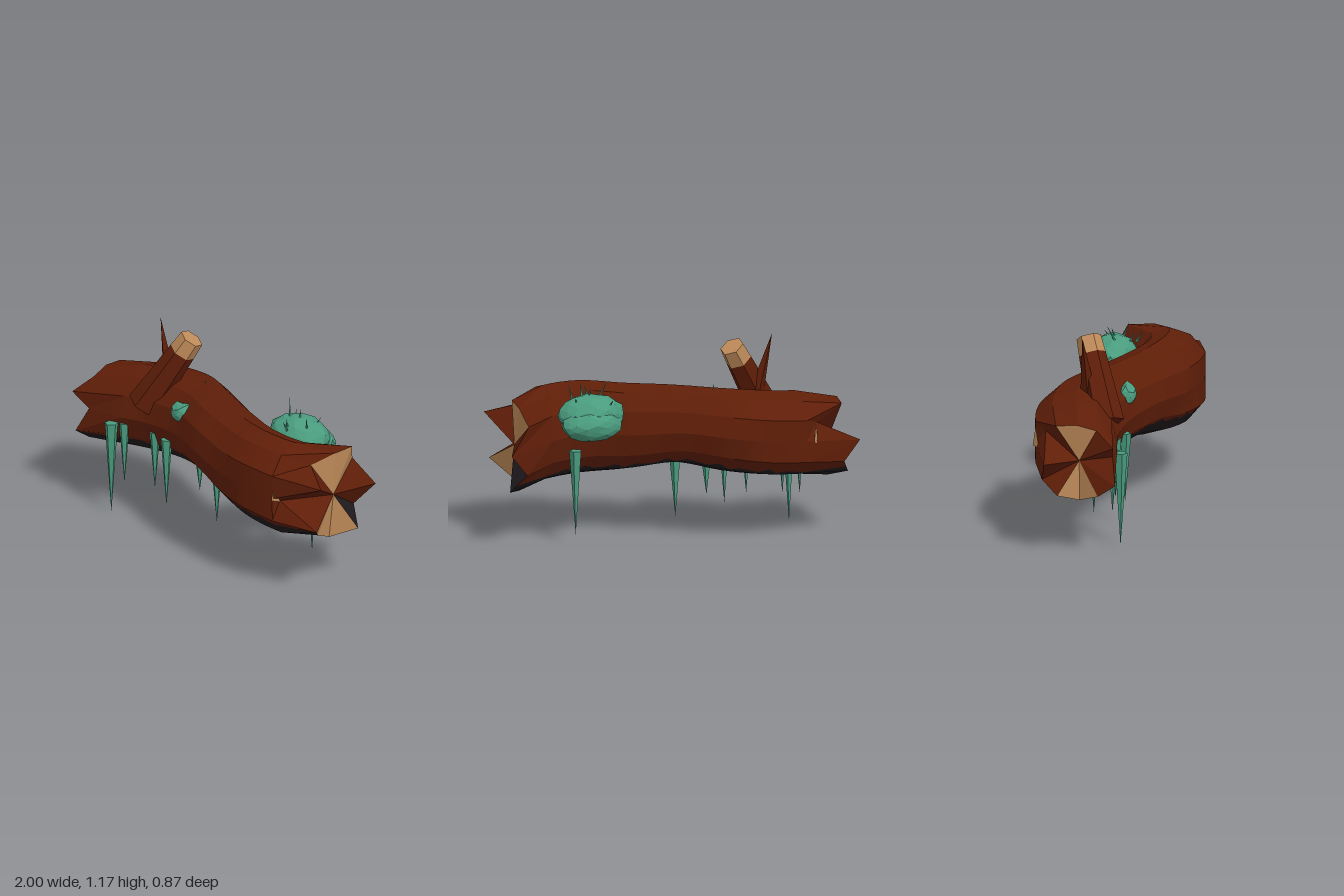
import * as THREE from 'three';

const mat = (name, color) => {
  const m = new THREE.MeshStandardMaterial({ color, flatShading: true });
  m.name = name;
  return m;
};
const V = (x, y, z) => new THREE.Vector3(x, y, z);

export function createModel() {
  const root = new THREE.Group();
  const bark = mat('bark', 0x5f1e08);
  const under = mat('dampUnderside', 0x201a1d);
  const wood = mat('cutWood', 0xc08c5a);
  const moss = mat('moss', 0x4a9c7f);

  const add = (name, geo, material, parent = root) => {
    const m = new THREE.Mesh(geo, material);
    m.name = name;
    parent.add(m);
    return m;
  };

  // Log axis and radii, sampled evenly from x = -1 to 1
  const axis = new THREE.CatmullRomCurve3([
    [0.545, -0.15], [0.58, -0.185], [0.60, -0.20], [0.625, -0.15], [0.645, -0.005],
    [0.62, 0.12], [0.61, 0.22], [0.585, 0.215], [0.555, 0.11],
  ].map(([y, z], i) => V(-1 + i * 0.25, y, z)), false, 'catmullrom', 0.5);
  const radii = new THREE.CatmullRomCurve3([
    [0.225, 0.21], [0.24, 0.23], [0.245, 0.235], [0.24, 0.25], [0.225, 0.25],
    [0.25, 0.235], [0.27, 0.20], [0.275, 0.21], [0.265, 0.255],
  ].map(([y, z], i) => V(-1 + i * 0.25, y, z)), false, 'catmullrom', 0.5);

  // Cross-section, squared off on the outer side of each bend
  const SIDES = 12;
  const ringAt = (x) => Array.from({ length: SIDES }, (_, k) => {
    const t = (x + 1) / 2, a = (k / SIDES) * Math.PI * 2;
    const c = axis.getPoint(t), r = radii.getPoint(t);
    let across = Math.cos(a);
    if (across * x > 0) across *= 1 + 0.15 * THREE.MathUtils.smoothstep(Math.abs(x), 0.1, 0.5);
    return V(x, c.y + r.y * Math.sin(a), c.z + r.z * THREE.MathUtils.clamp(across, -1, 1));
  });

  // Splintered rims, corners running from the front over the top to the back
  const leftRim = [
    [-0.89, 0.58, 0.03], [-1, 0.66, 0.04], [-0.92, 0.74, -0.06], [-0.92, 0.77, -0.17],
    [-0.91, 0.76, -0.29], [-0.74, 0.68, -0.36], [-1, 0.555, -0.35], [-0.9, 0.44, -0.37],
    [-0.95, 0.36, -0.28], [-0.87, 0.315, -0.16], [-0.95, 0.36, -0.05], [-0.97, 0.43, 0.05],
  ].map((p) => V(...p));
  const rightRim = [
    [0.71, 0.56, 0.37], [1, 0.7, 0.37], [0.83, 0.765, 0.24], [0.915, 0.82, 0.12],
    [0.92, 0.81, -0.03], [0.88, 0.71, -0.085], [1, 0.56, -0.145], [0.89, 0.43, -0.085],
    [0.97, 0.32, -0.02], [0.87, 0.29, 0.12], [0.88, 0.345, 0.24], [0.97, 0.43, 0.37],
  ].map((p) => V(...p));

  const rings = [leftRim];
  const STEPS = 26;
  for (let i = 0; i <= STEPS; i++) rings.push(ringAt(-0.66 + (1.36 * i) / STEPS));
  rings.push(rightRim);

  const faces = { bark: [], under: [], wood: [] };
  const tri = (key, a, b, c) => faces[key].push(a, b, c);
  const quad = (key, a, b, c, d) => { tri(key, a, b, c); tri(key, a, c, d); };

  // Log sides, with a scalloped border between bark and damp underside
  const scallop = (i) => Math.abs(Math.sin(i * 1.9)) * 0.35;
  for (let i = 0; i < rings.length - 1; i++) {
    const p = rings[i], q = rings[i + 1];
    for (let k = 0; k < SIDES; k++) {
      const n = (k + 1) % SIDES;
      if (k === 7 || k === 10) {
        const split = (j) => (k === 7 ? 0.55 + scallop(j) : 0.97 - scallop(j));
        const pm = p[k].clone().lerp(p[n], split(i));
        const qm = q[k].clone().lerp(q[n], split(i + 1));
        quad(k === 7 ? 'bark' : 'under', p[k], q[k], qm, pm);
        quad(k === 7 ? 'under' : 'bark', pm, qm, q[n], p[n]);
      } else {
        quad(k === 8 || k === 9 ? 'under' : 'bark', p[k], q[k], q[n], p[n]);
      }
    }
  }

  // Broken ends: fans from the heart of the log to the splintered rim
  const B = 'bark', U = 'under', W = 'wood';
  const leftFan = [B, B, W, W, B, B, B, B, W, W, B, B];
  const rightFan = [B, B, W, W, W, B, B, U, W, W, W, B];
  const leftHeart = V(-0.88, 0.55, -0.16), rightHeart = V(0.9, 0.56, 0.12);
  for (let k = 0; k < SIDES; k++) {
    const n = (k + 1) % SIDES;
    tri(leftFan[k], leftHeart, leftRim[k], leftRim[n]);
    tri(rightFan[k], rightHeart, rightRim[n], rightRim[k]);
  }

  // Bare wood chips beside the deep notch at each end
  for (const s of [1, -1]) {
    tri('wood', V(s * 0.735, 0.57, s * 0.4), V(s * 0.715, 0.7, s * 0.42), V(s * 0.7, 0.58, s * 0.437));
  }

  const solid = (pts) => {
    const g = new THREE.BufferGeometry().setFromPoints(pts);
    g.computeVertexNormals();
    return g;
  };
  add('logBark', solid(faces.bark), bark);
  add('logUnderside', solid(faces.under), under);
  add('logEndWood', solid(faces.wood), wood);

  // Tapered piece between two points
  const taper = (name, a, b, ra, rb, sides, material, parent) => {
    const d = b.clone().sub(a);
    const m = add(name, new THREE.CylinderGeometry(rb, ra, d.length(), sides), material, parent);
    m.position.copy(a).addScaledVector(d, 0.5);
    m.quaternion.setFromUnitVectors(V(0, 1, 0), d.normalize());
  };

  // Broken branch with bare wood tip, and a thin splinter beside it
  const foot = V(-0.545, 0.675, -0.03), tip = V(-0.302, 1.105, -0.153);
  const bare = foot.clone().lerp(tip, 0.8);
  taper('branch', foot, bare, 0.1, 0.077, 6, bark);
  taper('branchTip', bare, tip, 0.077, 0.07, 6, wood);
  taper('splinter', V(-0.44, 0.78, -0.14), V(-0.535, 1.167, -0.17), 0.05, 0, 4, bark);

  // Moss clumps: lumpy low-poly balls
  const clump = (name, pos, scale, detail, lump) => {
    const g = new THREE.IcosahedronGeometry(1, detail);
    const p = g.attributes.position, v = V(0, 0, 0);
    for (let i = 0; i < p.count; i++) {
      v.fromBufferAttribute(p, i);
      v.multiplyScalar(1 + lump * Math.sin(v.x * 7 + v.y * 5) * Math.cos(v.z * 6));
      p.setXYZ(i, v.x, v.y, v.z);
    }
    g.computeVertexNormals();
    const m = add(name, g, moss);
    m.position.set(...pos);
    m.scale.set(...scale);
  };
  clump('mossBall', [0.51, 0.755, -0.08], [0.19, 0.115, 0.14], 2, 0.05);
  clump('mossBallLower', [0.525, 0.71, -0.145], [0.175, 0.095, 0.11], 2, 0.05);
  clump('mossPatch', [-0.21, 0.745, 0.052], [0.08, 0.064, 0.06], 1, 0.15);

  // Fine sprigs: root and tip
  const sprigs = new THREE.Group();
  sprigs.name = 'mossSprigs';
  root.add(sprigs);
  [
    [0.46, 0.84, -0.06, 0.42, 0.955, -0.11], [0.52, 0.85, -0.07, 0.515, 0.915, -0.09],
    [0.60, 0.83, -0.03, 0.62, 0.915, 0.0], [0.50, 0.84, 0.02, 0.51, 0.895, 0.04],
    [0.52, 0.83, 0.05, 0.52, 0.9, 0.09], [0.60, 0.82, -0.1, 0.62, 0.87, -0.14],
    [0.43, 0.80, -0.15, 0.41, 0.86, -0.19], [-0.19, 0.84, -0.14, -0.2, 0.89, -0.14],
  ].forEach((s) => taper('sprig', V(s[0], s[1], s[2]), V(s[3], s[4], s[5]), 0.008, 0, 4, moss, sprigs));

  // Hanging moss: x, z, top, bottom
  const hanging = new THREE.Group();
  hanging.name = 'hangingMoss';
  root.add(hanging);
  [
    [-0.71, 0.06, 0.55, 0], [-0.655, 0.01, 0.55, 0.18], [-0.725, -0.09, 0.55, 0.2],
    [-0.44, 0.01, 0.55, 0.2], [-0.325, 0.055, 0.55, 0.14], [-0.18, -0.065, 0.435, 0.23],
    [-0.015, -0.005, 0.435, 0.1], [0.6, -0.08, 0.55, 0.06],
  ].forEach(([x, z, top, bottom]) => {
    const r = 0.022 + 0.032 * (top - bottom);
    taper('hangingStrand', V(x, bottom, z), V(x, top, z), 0, r, 5, moss, hanging);
  });

  return root;
}
